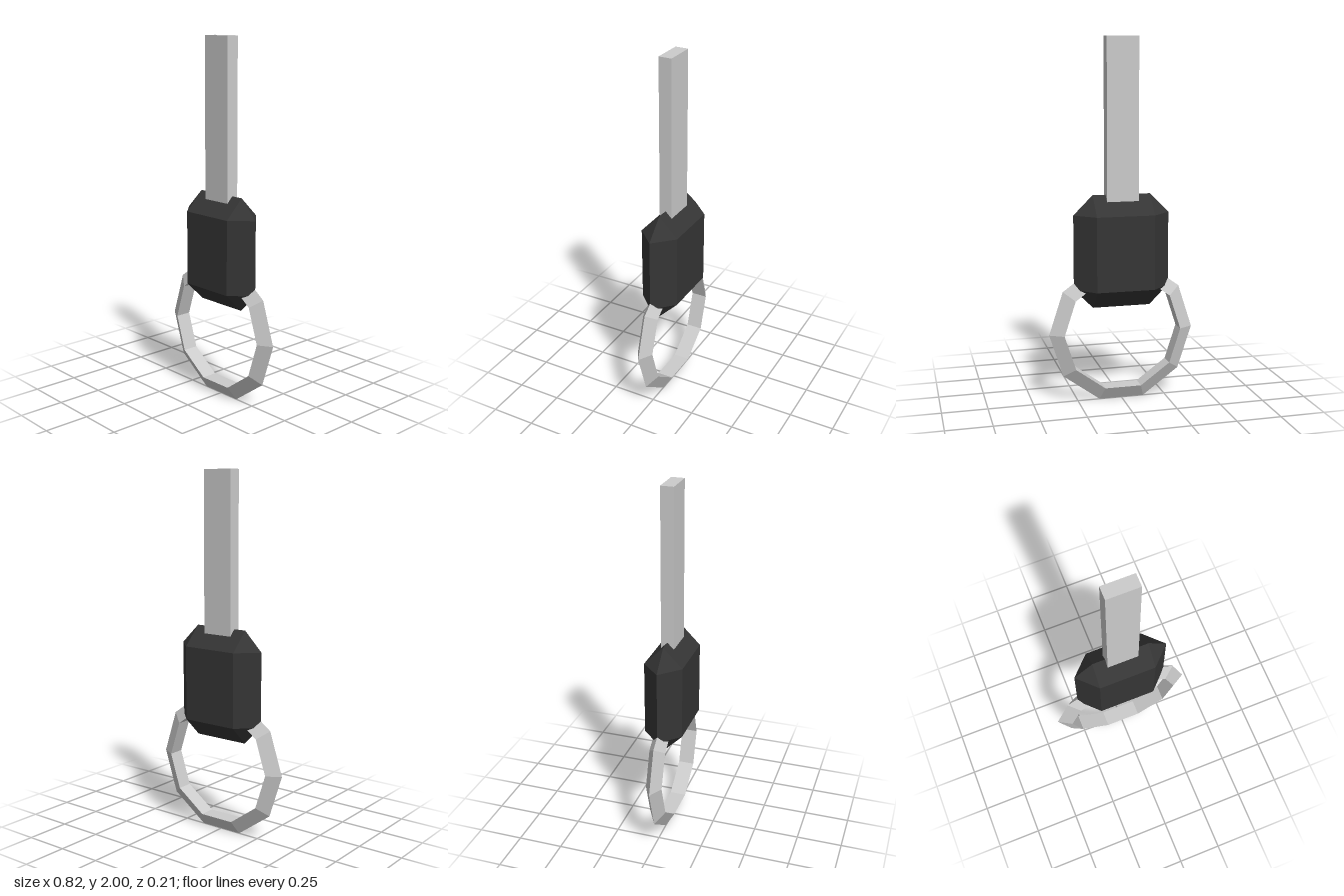
import * as THREE from 'three';
import { ConvexGeometry } from 'three/addons/geometries/ConvexGeometry.js';

export function createModel() {
  const group = new THREE.Group();
  const metal = new THREE.MeshStandardMaterial({ color: 0xcccccc, flatShading: true });
  const dark = new THREE.MeshStandardMaterial({ color: 0x353535, flatShading: true });

  const add = (name, geometry, material, y) => {
    const mesh = new THREE.Mesh(geometry, material);
    mesh.name = name;
    mesh.position.y = y;
    group.add(mesh);
  };

  // flat shaft, its lower end sunk into the head
  add('shaft', new THREE.BoxGeometry(0.177, 1, 0.072), metal, 1.5);

  // bevelled head: front and back plates, side ridges, top and bottom ridges
  const points = [];
  for (const sx of [-1, 1]) {
    for (const sy of [-1, 1]) {
      for (const sz of [-1, 1]) points.push(new THREE.Vector3(sx * 0.161, sy * 0.206, sz * 0.107));
      points.push(new THREE.Vector3(sx * 0.268, sy * 0.206, 0));
      points.push(new THREE.Vector3(sx * 0.161, sy * 0.313, 0));
    }
  }
  add('head', new ConvexGeometry(points), dark, 0.842);

  // ten-sided ring with a triangular section, sharp edge outward
  add('ring', new THREE.TorusGeometry(0.356, 0.052, 3, 10), metal, 0.388);

  return group;
}
